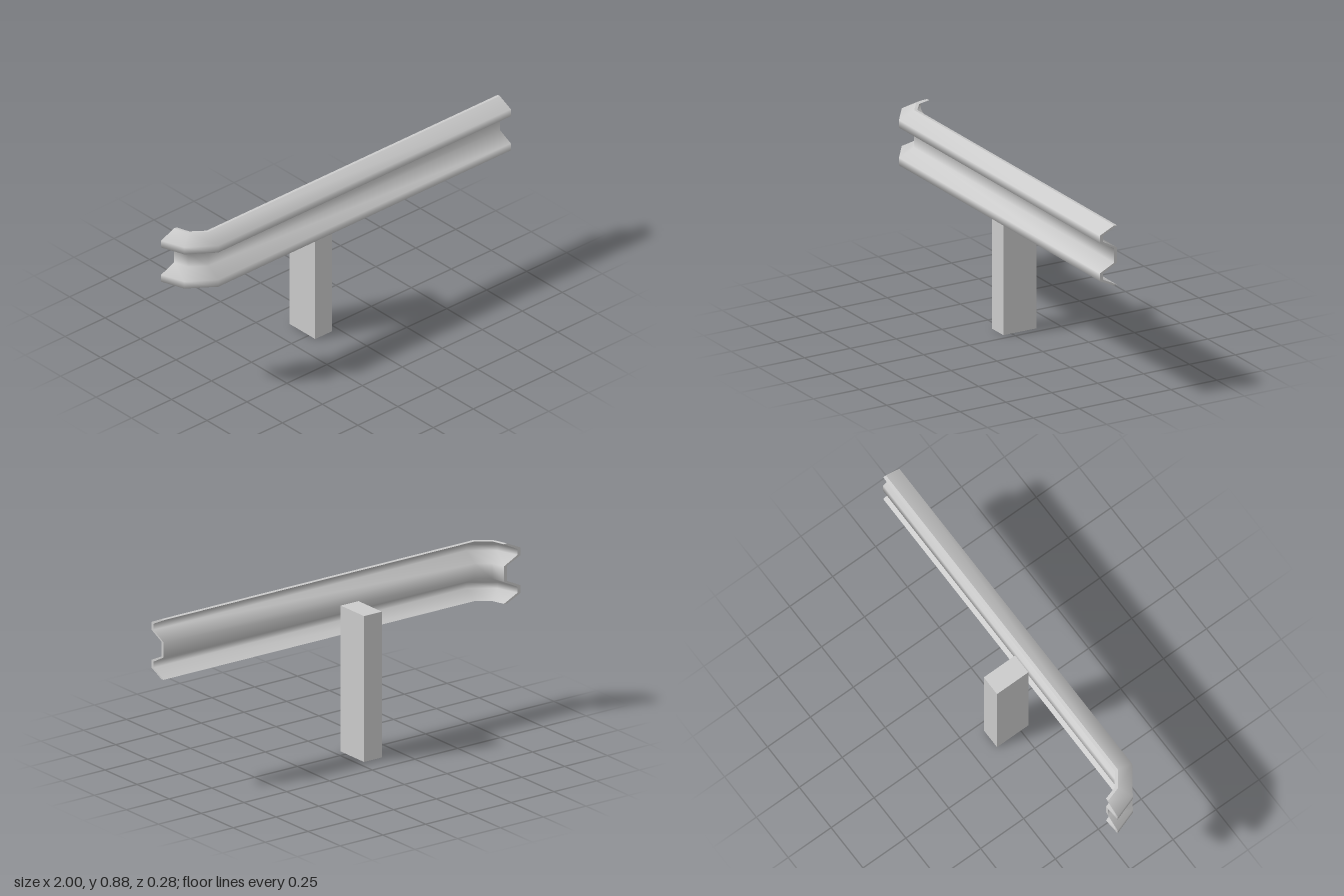
import * as THREE from 'three';

// Rail cross-section, top to bottom: [depth, y]; depth 0 = back plane, 1 = crest
const FRONT = [[0.17, 0.877], [1, 0.84], [1, 0.802], [0.18, 0.765], [0.18, 0.69], [1, 0.652], [1, 0.614], [0.17, 0.577]];
const BACK = [[0, 0.875], [0.81, 0.836], [0.81, 0.806], [0, 0.765], [0, 0.69], [0.81, 0.648], [0.81, 0.618], [0, 0.579]];

// Stations from the bent tip to the straight end: back-plane [x, z], crest [x, z]
const STATIONS = [
  [[-0.905, -0.07], [-1, -0.073]],
  [[-0.885, -0.005], [-0.96, 0.045]],
  [[-0.82, 0.044], [-0.83, 0.138]],
  [[1, 0.044], [1, 0.138]],
];

const place = ([back, crest], [d, y]) => [
  THREE.MathUtils.lerp(back[0], crest[0], d), y, THREE.MathUtils.lerp(back[1], crest[1], d),
];

// Surface from equal-length rows of points, smooth inside
function sheet(name, rows, material) {
  const n = rows[0].length, index = [];
  for (let i = 0; i < rows.length - 1; i++) {
    for (let j = 0; j < n - 1; j++) {
      const a = i * n + j, b = a + 1, c = b + n, d = a + n;
      index.push(a, b, c, a, c, d);
    }
  }
  const geometry = new THREE.BufferGeometry();
  geometry.setAttribute('position', new THREE.Float32BufferAttribute(rows.flat(2), 3));
  geometry.setIndex(index);
  geometry.computeVertexNormals();
  const mesh = new THREE.Mesh(geometry, material);
  mesh.name = name;
  return mesh;
}

export function createModel() {
  const material = new THREE.MeshStandardMaterial({ color: 0xcccccc });
  const model = new THREE.Group();
  model.name = 'guardrail';

  // Corrugated rail: front and back skins, rims and end caps
  const rail = new THREE.Group();
  rail.name = 'rail';
  const last = FRONT.length - 1;
  const sweep = (name, profile) =>
    rail.add(sheet(name, STATIONS.map((s) => profile.map((p) => place(s, p))), material));
  sweep('railFront', FRONT);
  sweep('railBack', [...BACK].reverse());
  sweep('railTopRim', [BACK[0], FRONT[0]]);
  sweep('railBottomRim', [FRONT[last], BACK[last]]);
  const section = (s, profile) => profile.map((p) => place(s, p));
  const tip = STATIONS[0], end = STATIONS[STATIONS.length - 1];
  rail.add(sheet('railTipCap', [section(tip, BACK), section(tip, FRONT)], material));
  rail.add(sheet('railEndCap', [section(end, FRONT), section(end, BACK)], material));
  model.add(rail);

  // Support post behind the rail
  const post = new THREE.Mesh(new THREE.BoxGeometry(0.104, 0.725, 0.182), material);
  post.name = 'post';
  post.position.set(-0.088, 0.3625, -0.047);
  model.add(post);

  return model;
}
